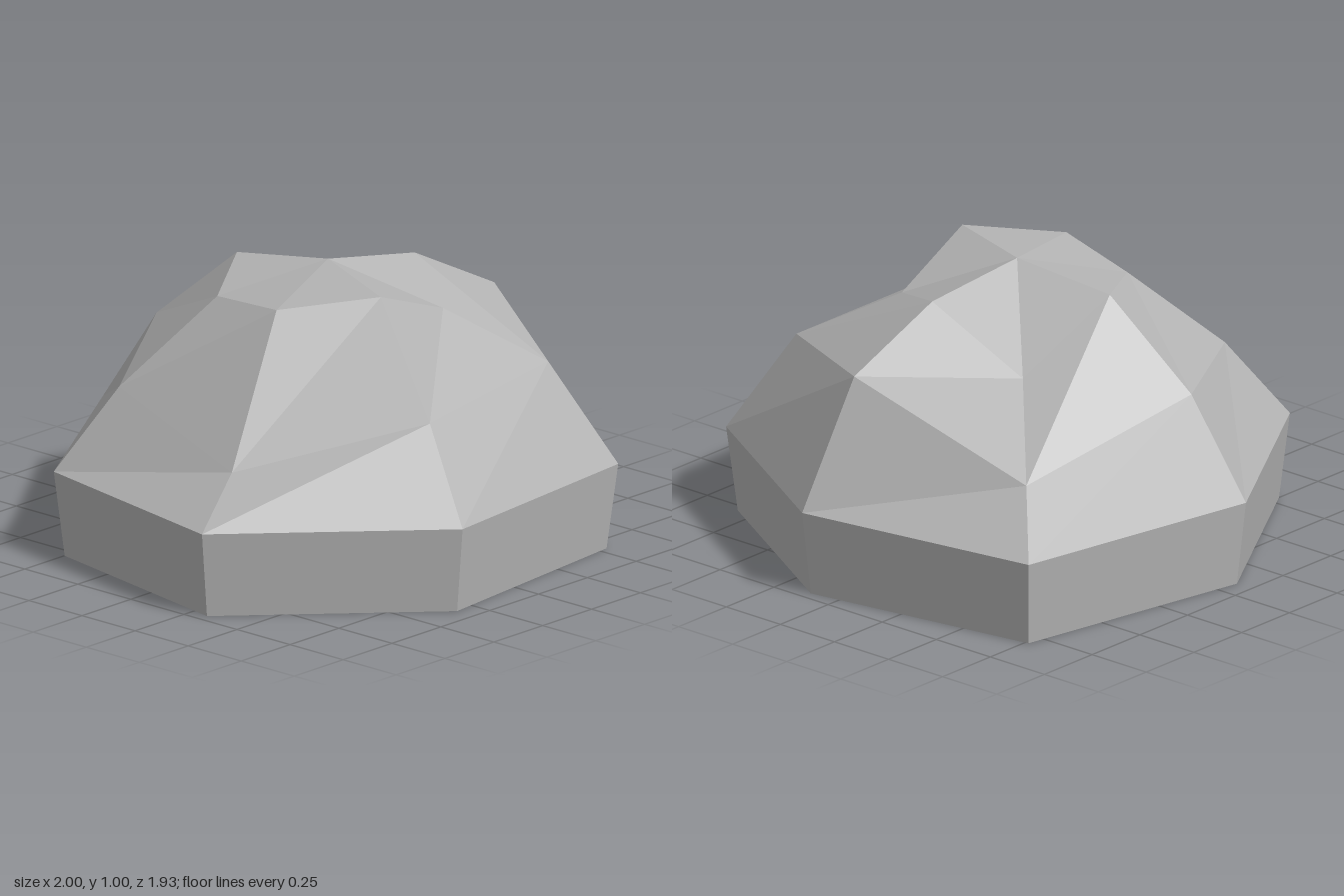
import * as THREE from 'three';

// Seven-sided footprint (x, z), clockwise seen from above
const OUTLINE = [
  [-0.09, -0.97], [0.85, -0.795], [1, 0.12], [0.56, 0.86],
  [-0.345, 0.96], [-1, 0.335], [-0.83, -0.52],
];

// Each ring is the footprint scaled, with its own corner heights
const RINGS = [
  { scale: 0.96, heights: Array(7).fill(0) },
  { scale: 1, heights: Array(7).fill(0.31) },
  { scale: 0.76, heights: [0.66, 0.495, 0.755, 0.67, 0.625, 0.46, 0.6] },
  { scale: 0.4, heights: [0.95, 0.73, 0.94, 0.845, 0.98, 0.94, 0.9] },
];

function rockGeometry() {
  const n = OUTLINE.length;
  const rings = RINGS.map(({ scale, heights }) =>
    OUTLINE.map(([x, z], i) => [x * scale, heights[i], z * scale]));
  const positions = [];
  const tri = (a, b, c) => positions.push(...a, ...b, ...c);
  const base = [0, 0, 0];
  const peak = [0.01, 1, 0];

  for (let i = 0; i < n; i++) {
    const j = (i + 1) % n;
    // Underside and crown fans
    tri(base, rings[0][i], rings[0][j]);
    tri(peak, rings[3][j], rings[3][i]);
    // Side facets between neighbouring rings
    for (let r = 0; r < rings.length - 1; r++) {
      const low = rings[r], high = rings[r + 1];
      tri(low[j], low[i], high[i]);
      tri(low[j], high[i], high[j]);
    }
  }

  const geometry = new THREE.BufferGeometry();
  geometry.setAttribute('position', new THREE.Float32BufferAttribute(positions, 3));
  geometry.computeVertexNormals(); // unshared corners keep every facet flat
  return geometry;
}

export function createModel() {
  const stone = new THREE.MeshStandardMaterial({ color: 0xb4b4b4 });
  stone.name = 'stoneGrey';

  const rock = new THREE.Mesh(rockGeometry(), stone);
  rock.name = 'rock';

  const group = new THREE.Group();
  group.name = 'boulder';
  group.add(rock);
  return group;
}
